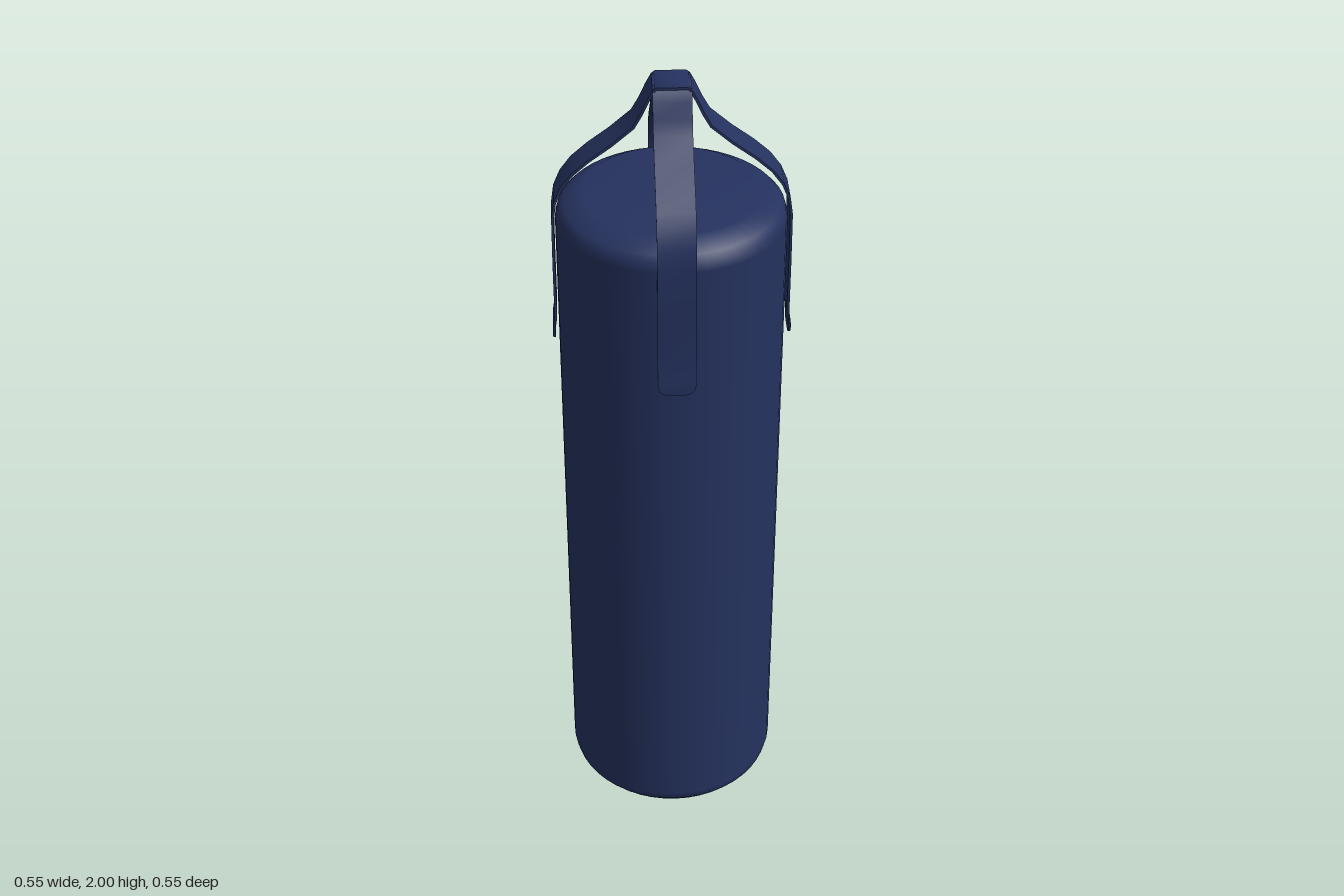
import * as THREE from 'three';
import { toCreasedNormals } from 'three/addons/utils/BufferGeometryUtils.js';

const HALF_WIDTH = 0.043;
const END_Y = 1.356;

// Ribbon swept over the bag: thick outline extruded sideways, with rounded ends
function strapGeometry(drop) {
  // right half of the centre line, from the lower end up to the top
  const half = [
    [0.274, 1.356], [0.274, 1.36], [0.274, 1.368], [0.274, 1.38], [0.273, 1.395],
    [0.269, 1.42], [0.269, 1.56], [0.268, 1.68], [0.262, 1.722], [0.247, 1.758],
    [0.222, 1.792], [0.185, 1.825], [0.135, 1.862], [0.085, 1.905], [0.068, 1.935],
    [0.052, 1.97], [0.04, 1.992 - drop], [0.034, 1.997 - drop],
  ].map(([x, y]) => new THREE.Vector2(x, y));
  const path = [...half, ...half.map(p => new THREE.Vector2(-p.x, p.y)).reverse()];
  const offset = side => path.map((p, i) => {
    const a = path[Math.max(i - 1, 0)], b = path[Math.min(i + 1, path.length - 1)];
    const t = b.clone().sub(a).normalize();
    return new THREE.Vector2(p.x + t.y * side, p.y - t.x * side);
  });
  const outline = [...offset(0.003), ...offset(-0.003).reverse()];
  const geo = new THREE.ExtrudeGeometry(new THREE.Shape(outline), {
    depth: 2 * HALF_WIDTH, bevelEnabled: false, steps: 1,
  });
  geo.translate(0, 0, -HALF_WIDTH);

  // narrow the width towards each end for rounded corners
  const pos = geo.attributes.position, r = 0.024;
  for (let i = 0; i < pos.count; i++) {
    const d = Math.min(Math.max(pos.getY(i) - END_Y, 0), r);
    const w = HALF_WIDTH - r + Math.sqrt(r * r - (r - d) ** 2);
    pos.setZ(i, Math.sign(pos.getZ(i)) * w);
  }
  return toCreasedNormals(geo, 0.9);
}

export function createModel() {
  const model = new THREE.Group();
  model.name = 'punchingBag';
  const navy = new THREE.MeshStandardMaterial({ color: 0x25325f });
  navy.name = 'navy';

  // Padded cylinder with softened rims
  const profile = [
    [0, 0], [0.2, 0.002], [0.245, 0.027], [0.257, 0.042], [0.263, 0.065],
    [0.263, 1.667], [0.257, 1.69], [0.245, 1.703], [0.2, 1.728], [0, 1.73],
  ].map(([x, y]) => new THREE.Vector2(x, y));
  const bag = new THREE.Mesh(new THREE.LatheGeometry(profile, 48), navy);
  bag.name = 'bag';
  model.add(bag);

  // Two hanging straps crossing at the top
  [['sideStrap', 0, 0], ['frontBackStrap', Math.PI / 2, 0.003]].forEach(([name, turn, drop]) => {
    const strap = new THREE.Mesh(strapGeometry(drop), navy);
    strap.name = name;
    strap.rotation.y = turn;
    model.add(strap);
  });
  return model;
}
